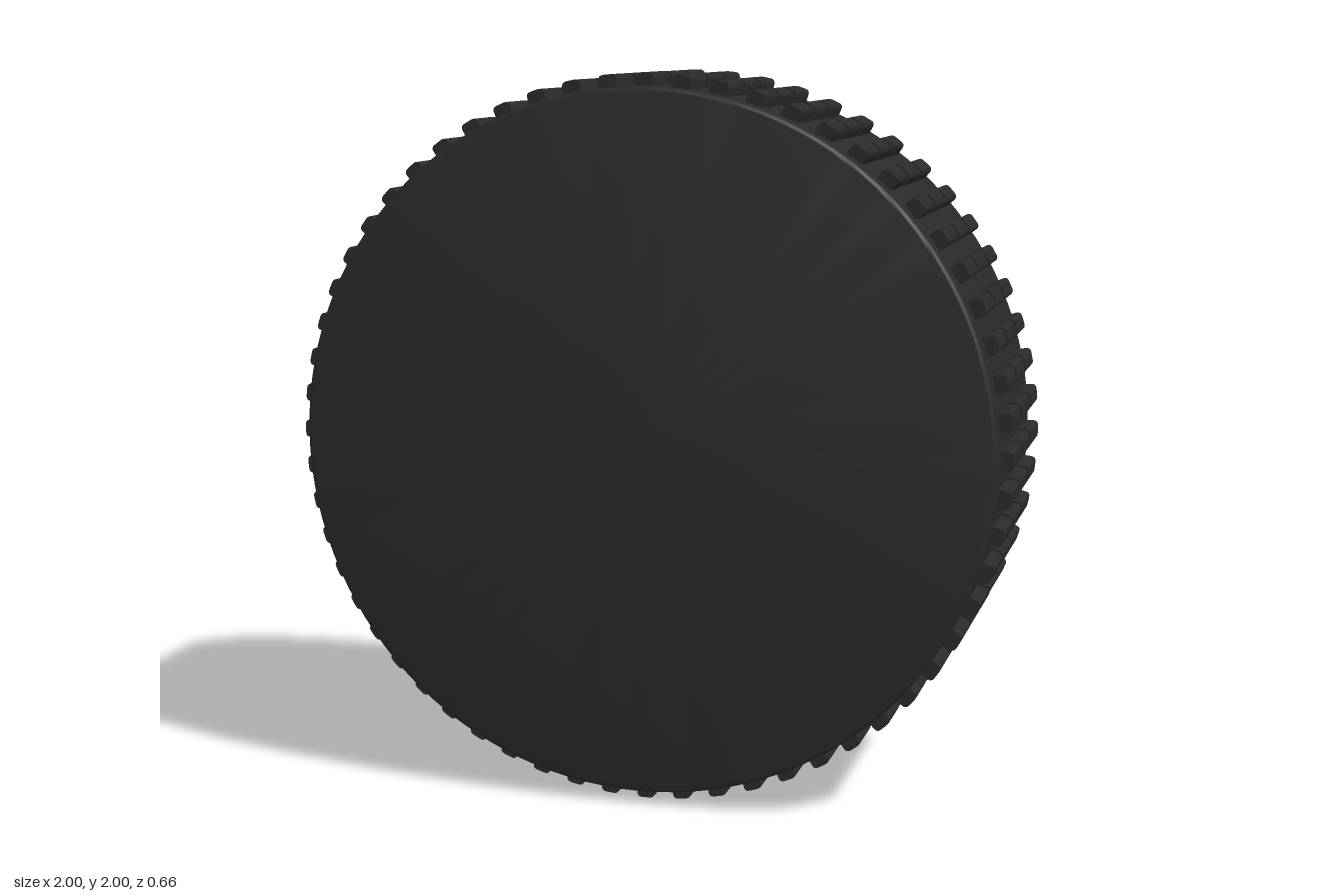
import * as THREE from 'three';
import { mergeGeometries, toCreasedNormals } from 'three/addons/utils/BufferGeometryUtils.js';

const RADIUS = 0.965, HALF_WIDTH = 0.332, BEVEL = 0.012;
const LUGS = 60, LUG_LENGTH = 0.16, LUG_WIDTH = 0.05, ROW_SPACING = 0.188;

// Solid drum with small rounded rims, turned about z
function drumGeometry() {
  const points = [new THREE.Vector2(0, -HALF_WIDTH)];
  for (const side of [-1, 1]) {
    for (let i = 0; i <= 3; i++) {
      const a = (side < 0 ? i - 3 : i) * Math.PI / 6;
      points.push(new THREE.Vector2(
        RADIUS - BEVEL + BEVEL * Math.cos(a),
        side * (HALF_WIDTH - BEVEL) + BEVEL * Math.sin(a)));
    }
  }
  points.push(new THREE.Vector2(0, HALF_WIDTH));
  const geometry = new THREE.LatheGeometry(points, 120).rotateX(Math.PI / 2);
  return toCreasedNormals(geometry, 0.6);
}

// One tread lug at the top of the wheel: a bar with rounded outer corners
function lugGeometry() {
  const w = LUG_WIDTH / 2, top = 1, base = 0.95, r = 0.014;
  const shape = new THREE.Shape();
  shape.moveTo(-w, base);
  shape.lineTo(w, base);
  shape.lineTo(w, top - r);
  shape.quadraticCurveTo(w, top, w - r, top);
  shape.lineTo(-w + r, top);
  shape.quadraticCurveTo(-w, top, -w, top - r);
  shape.closePath();
  const geometry = new THREE.ExtrudeGeometry(shape, { depth: LUG_LENGTH, bevelEnabled: false, curveSegments: 4 });
  geometry.translate(0, 0, -LUG_LENGTH / 2);
  return toCreasedNormals(geometry, 0.6);
}

export function createModel() {
  const model = new THREE.Group();
  model.name = 'wheel';
  const rubber = new THREE.MeshStandardMaterial({ color: 0x2a2a2a });

  const drum = new THREE.Mesh(drumGeometry(), rubber);
  drum.name = 'tyreBody';
  model.add(drum);

  // Ring of lugs, repeated in three rows across the tread
  const lug = lugGeometry();
  const ring = mergeGeometries(Array.from({ length: LUGS }, (_, i) =>
    lug.clone().rotateZ(i * 2 * Math.PI / LUGS)));
  ['backTread', 'middleTread', 'frontTread'].forEach((name, i) => {
    const row = new THREE.Mesh(ring, rubber);
    row.name = name;
    row.position.z = (i - 1) * ROW_SPACING;
    model.add(row);
  });

  model.position.y = 1;
  const root = new THREE.Group();
  root.add(model);
  return root;
}
